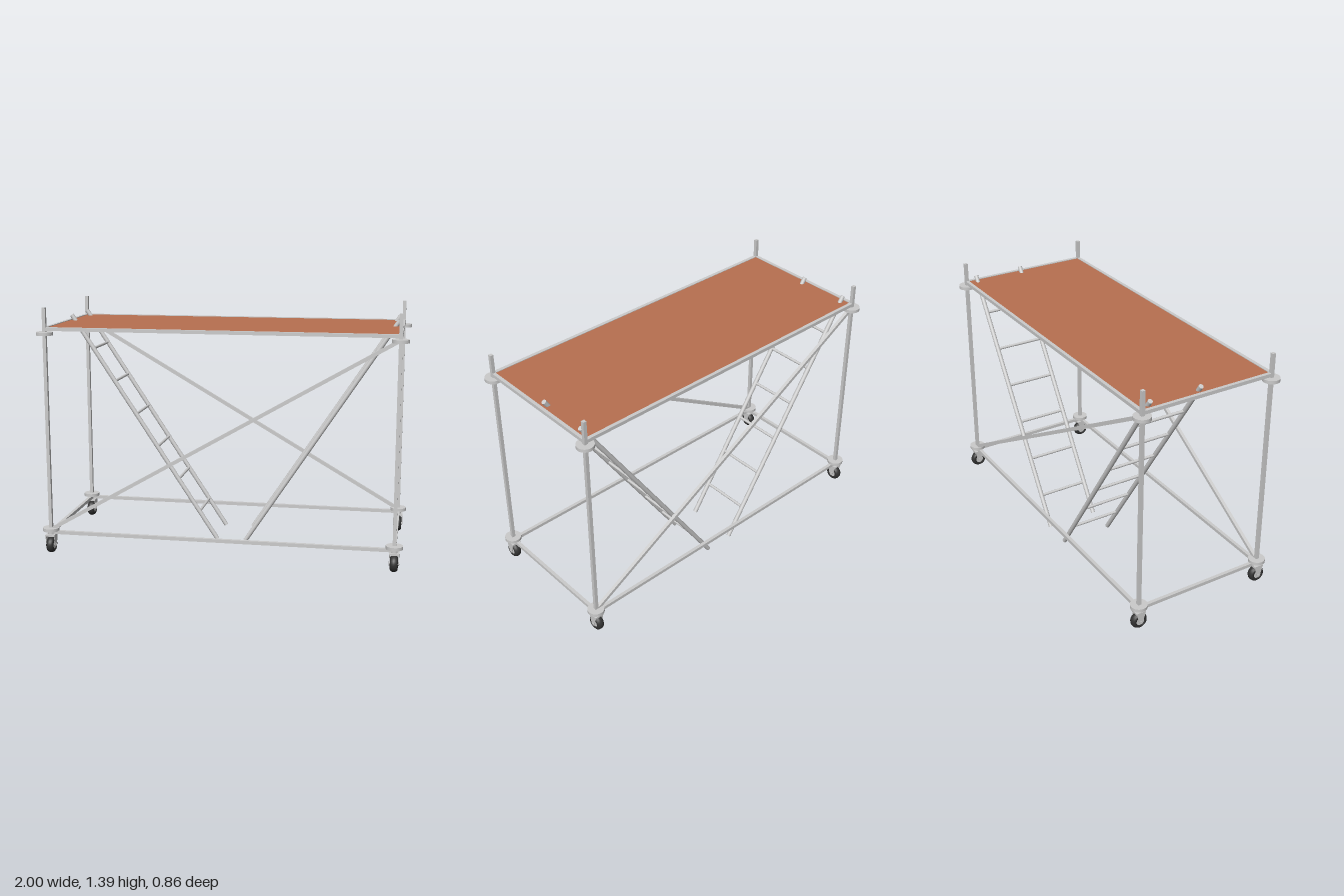
import * as THREE from 'three';

const X = 0.954, Z = 0.382;          // corner post positions
const TUBE = 0.019;                  // square tube width
const LOW = 0.13, HIGH = 1.272;      // rail heights

const metal = new THREE.MeshStandardMaterial({ color: 0xcccccc });
const wood = new THREE.MeshStandardMaterial({ color: 0xb87050 });
const rubber = new THREE.MeshStandardMaterial({ color: 0x333333 });
const UP = new THREE.Vector3(0, 1, 0);

function add(parent, name, geometry, material, x = 0, y = 0, z = 0) {
  const mesh = new THREE.Mesh(geometry, material);
  mesh.name = name;
  mesh.position.set(x, y, z);
  parent.add(mesh);
  return mesh;
}

// A square or round bar running between two points
function bar(parent, name, a, b, width, round = false) {
  const from = new THREE.Vector3(...a), to = new THREE.Vector3(...b);
  const dir = to.clone().sub(from), length = dir.length();
  const geometry = round
    ? new THREE.CylinderGeometry(width / 2, width / 2, length, 20)
    : new THREE.BoxGeometry(width, length, width);
  const mesh = add(parent, name, geometry, metal);
  mesh.position.copy(from).add(to).multiplyScalar(0.5);
  mesh.quaternion.setFromUnitVectors(UP, dir.normalize());
  return mesh;
}

// Swivel caster: rounded tyre, hub, axle and a two-sided fork
function makeCaster() {
  const caster = new THREE.Group();
  caster.name = 'caster';
  const axleY = 0.057;

  const profile = [[0.024, -0.019], [0.033, -0.021], [0.040, -0.017], [0.0445, -0.009], [0.046, 0],
    [0.0445, 0.009], [0.040, 0.017], [0.033, 0.021], [0.024, 0.019], [0.024, -0.019]]
    .map(([r, h]) => new THREE.Vector2(r, h));
  add(caster, 'tyre', new THREE.LatheGeometry(profile, 32), rubber, 0, axleY).rotation.z = Math.PI / 2;
  add(caster, 'hub', new THREE.CylinderGeometry(0.025, 0.025, 0.034, 24), metal, 0, axleY).rotation.z = Math.PI / 2;
  add(caster, 'axle', new THREE.CylinderGeometry(0.007, 0.007, 0.058, 16), metal, 0, axleY).rotation.z = Math.PI / 2;

  // Fork cheek, drawn in the z-y plane and tapering down to the axle
  const cheek = new THREE.Shape();
  cheek.moveTo(-0.027, 0.116);
  cheek.lineTo(-0.012, axleY);
  cheek.absarc(0, axleY, 0.012, Math.PI, Math.PI * 2, false);
  cheek.lineTo(0.027, 0.116);
  cheek.closePath();
  const cheekGeometry = new THREE.ExtrudeGeometry(cheek, { depth: 0.004, bevelEnabled: false, curveSegments: 8 });
  cheekGeometry.rotateY(Math.PI / 2);
  for (const x of [-0.027, 0.023]) add(caster, 'forkCheek', cheekGeometry, metal, x);
  add(caster, 'forkCrown', new THREE.BoxGeometry(0.054, 0.01, 0.056), metal, 0, 0.113);
  add(caster, 'swivel', new THREE.CylinderGeometry(0.018, 0.018, 0.026, 20), metal, 0, 0.129);
  return caster;
}

// Leaning ladder; side is -1 or 1 for the end it hangs from
function makeLadder(side) {
  const ladder = new THREE.Group();
  ladder.name = 'ladder';
  const bottom = [0.083, 0.008], top = [0.936, 1.308], zs = [-0.036, -0.327];
  for (const z of zs)
    bar(ladder, 'ladderRail', [side * bottom[0], bottom[1], z], [side * top[0], top[1], z], 0.025, true);
  for (let i = 0; i < 6; i++) {
    const y = 0.17 + i * 0.1895;
    const t = (y - bottom[1]) / (top[1] - bottom[1]);
    const x = side * (bottom[0] + t * (top[0] - bottom[0]));
    bar(ladder, 'rung', [x, y, zs[0]], [x, y, zs[1]], 0.016, true);
  }
  return ladder;
}

export function createModel() {
  const model = new THREE.Group();
  model.name = 'scaffold';

  // Corner posts with round collars and casters
  const collar = new THREE.CylinderGeometry(0.046, 0.046, 0.018, 40);
  for (const x of [-X, X]) for (const z of [-Z, Z]) {
    bar(model, 'post', [x, 0.135, z], [x, 1.388, z], TUBE);
    add(model, 'lowerCollar', collar, metal, x, 0.147, z);
    add(model, 'upperCollar', collar, metal, x, 1.247, z);
    const caster = makeCaster();
    caster.position.set(x, 0, z);
    model.add(caster);
  }

  // Bottom and top rails
  for (const y of [LOW, HIGH]) {
    for (const z of [-Z, Z]) bar(model, 'longRail', [-X, y, z], [X, y, z], TUBE);
    for (const x of [-X, X]) bar(model, 'endRail', [x, y, -Z], [x, y, Z], TUBE);
  }

  // One diagonal brace on each long side, crossing each other
  bar(model, 'frontBrace', [-X, 0.145, Z], [X, 1.25, Z], TUBE);
  bar(model, 'backBrace', [X, 0.145, -Z], [-X, 1.25, -Z], TUBE);

  // Deck board inside the top frame
  add(model, 'deck', new THREE.BoxGeometry(2 * X - TUBE, 0.012, 2 * Z - TUBE), wood, 0, HIGH, 0);

  for (const side of [-1, 1]) model.add(makeLadder(side));
  return model;
}
